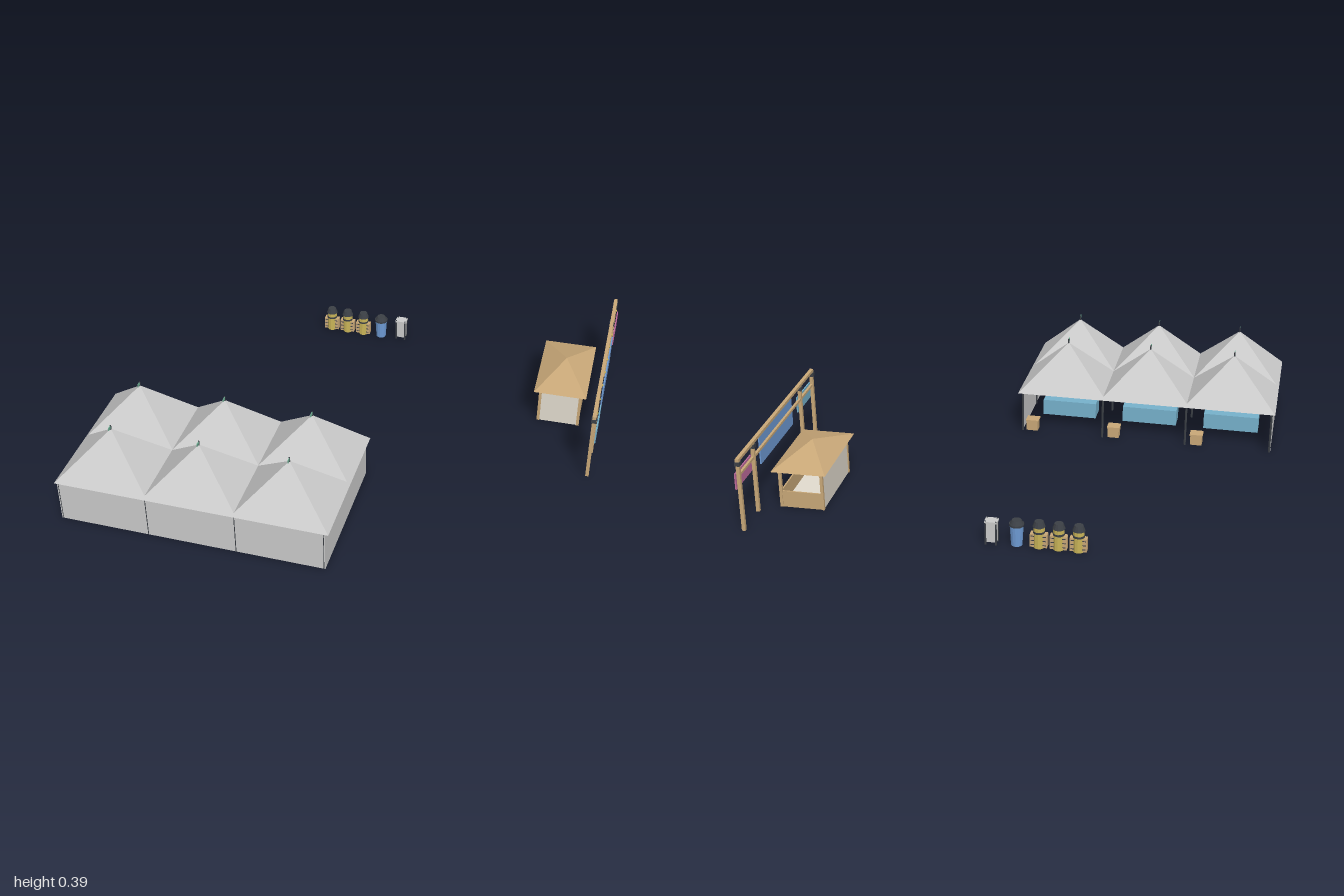
import * as THREE from 'three';

const mat = (color) => new THREE.MeshStandardMaterial({ color, flatShading: true, side: THREE.DoubleSide });
const GREY = mat(0xcccccc), DARK = mat(0x3c4046), WOOD = mat(0xc9a878), PALE = mat(0xe2dccf);
const TEAL = mat(0x77b2cc), BLUE = mat(0x6f9cd6), PINK = mat(0xbf6c9d), YELLOW = mat(0xc9b458), GREEN = mat(0x6fae94);

function add(parent, name, geometry, material, x, y, z) {
  const mesh = new THREE.Mesh(geometry, material);
  mesh.name = name;
  mesh.position.set(x, y, z);
  parent.add(mesh);
  return mesh;
}

// box resting on height y
const box = (parent, name, material, w, h, d, x, y, z) =>
  add(parent, name, new THREE.BoxGeometry(w, h, d), material, x, y + h / 2, z);

// upright cylinder resting on height y
const drum = (parent, name, material, r, h, x, y, z, sides = 12, rBottom = r) =>
  add(parent, name, new THREE.CylinderGeometry(r, rBottom, h, sides), material, x, y + h / 2, z);

// open four-sided pyramid with half sizes hx and hz
function pyramid(parent, name, material, hx, h, hz, x, y, z) {
  const g = new THREE.ConeGeometry(Math.SQRT2, 1, 4, 1, true);
  g.rotateY(Math.PI / 4);
  g.scale(hx, h, hz);
  return add(parent, name, g, material, x, y + h / 2, z);
}

function group(parent, name, x = 0, z = 0, turn = 0) {
  const g = new THREE.Group();
  g.name = name;
  g.position.set(x, 0, z);
  g.rotation.y = turn;
  parent.add(g);
  return g;
}

// marquee: walls on three sides, open at the back
function buildMarquee(root) {
  const tent = group(root, 'marquee');
  box(tent, 'frontWall', GREY, 1.09, 0.18, 0.004, -0.445, 0, 0.838);
  for (const x of [-0.988, 0.098]) box(tent, 'sideWall', GREY, 0.004, 0.18, 0.585, x, 0, 0.548);

  // six peaked roofs with finials and small pennants
  for (const x of [-0.805, -0.4425, -0.08]) {
    for (const z of [0.4, 0.69]) {
      pyramid(tent, 'peakedRoof', GREY, 0.195, 0.195, 0.155, x, 0.18, z);
      drum(tent, 'finial', DARK, 0.003, 0.025, x, 0.367, z, 6);
      box(tent, 'pennant', GREEN, 0.003, 0.012, 0.02, x, 0.379, z + 0.01);
    }
  }
  // supporting poles
  for (const x of [-0.985, -0.6225, -0.26, 0.095])
    for (const z of [0.257, 0.545, 0.836]) drum(tent, 'tentPole', DARK, 0.005, 0.182, x, 0, z, 6);

  // serving counter and crate in each bay
  for (let i = 0; i < 3; i++) {
    const x = -0.08 - i * 0.3625;
    box(tent, 'counter', TEAL, 0.24, 0.07, 0.09, x, 0, 0.485);
    const cx = x + 0.135;
    box(tent, 'crate', WOOD, 0.05, 0.045, 0.045, cx, 0, 0.283);
    box(tent, 'crateLid', WOOD, 0.056, 0.006, 0.05, cx, 0.043, 0.283);
  }
  // lamp rail under the rear roofs
  box(tent, 'lampRail', DARK, 1.09, 0.003, 0.003, -0.443, 0.167, 0.4);
  for (let i = 0; i < 10; i++)
    add(tent, 'lamp', new THREE.SphereGeometry(0.005, 8, 6), DARK, -0.98 + i * 0.12, 0.162, 0.4);
}

// wooden kiosk: two full walls, two serving hatches
function buildKiosk(root) {
  const kiosk = group(root, 'kiosk', 0.803, -0.46, 0.03);
  const hx = 0.085, hz = 0.165;
  box(kiosk, 'floor', PALE, hx * 2, 0.005, hz * 2, 0, 0, 0);
  box(kiosk, 'sideWall', PALE, 0.005, 0.165, hz * 2, -hx, 0, 0);
  box(kiosk, 'endWall', PALE, hx * 2, 0.165, 0.005, 0, 0, hz);
  box(kiosk, 'sideCounter', WOOD, 0.006, 0.07, hz * 2, hx, 0, 0);
  box(kiosk, 'endCounter', WOOD, hx * 2, 0.07, 0.006, 0, 0, -hz);
  for (const sx of [-1, 1])
    for (const sz of [-1, 1]) box(kiosk, 'cornerPost', WOOD, 0.012, 0.168, 0.012, sx * hx, 0, sz * hz);
  for (const s of [-1, 1]) {
    box(kiosk, 'topRail', WOOD, 0.01, 0.01, hz * 2, s * hx, 0.157, 0);
    box(kiosk, 'topRail', WOOD, hx * 2, 0.01, 0.01, 0, 0.157, s * hz);
  }
  pyramid(kiosk, 'hippedRoof', WOOD, 0.111, 0.06, 0.197, 0, 0.165, 0);
}

// banner frame: posts, beams, hung panels and a string of bulbs
function buildBannerFrame(root) {
  const frame = group(root, 'bannerFrame', 0.969, -0.408, 0.028);
  for (const z of [0.433, 0.278, -0.277, -0.432]) {
    box(frame, 'post', WOOD, 0.014, 0.3, 0.014, 0, 0, z);
    box(frame, 'clamp', DARK, 0.021, 0.016, 0.021, 0, 0.279, z);
  }
  box(frame, 'topBeam', WOOD, 0.015, 0.012, 0.882, 0, 0.297, 0);
  box(frame, 'lowerBeam', WOOD, 0.01, 0.01, 0.87, 0, 0.234, 0);
  box(frame, 'tealPanel', TEAL, 0.005, 0.068, 0.17, 0.014, 0.177, 0.355);
  box(frame, 'bluePanel', BLUE, 0.005, 0.122, 0.38, 0.012, 0.158, 0.008);
  box(frame, 'pinkPanel', PINK, 0.005, 0.068, 0.168, 0.014, 0.177, -0.356);
  for (let i = 0; i < 9; i++)
    add(frame, 'bulb', new THREE.SphereGeometry(0.005, 8, 6), YELLOW, 0.008, 0.287, -0.38 + i * 0.095);
}

// row of boxed barrels, a blue bin and a small cabinet
function buildBins(root) {
  const bins = group(root, 'binRow', 0, -0.727);
  for (const x of [-0.333, -0.257, -0.181]) {
    box(bins, 'woodBox', WOOD, 0.066, 0.055, 0.026, x, 0.003, 0);
    for (const s of [-1, 1])
      for (const y of [0.012, 0.03, 0.048]) box(bins, 'slatGap', DARK, 0.058, 0.003, 0.002, x, y, s * 0.0135);
    drum(bins, 'barrel', YELLOW, 0.022, 0.09, x, 0, 0);
    drum(bins, 'barrelBand', DARK, 0.0235, 0.008, x, 0.062, 0);
    drum(bins, 'barrelLid', DARK, 0.017, 0.022, x, 0.088, 0, 12, 0.025);
  }
  drum(bins, 'blueBin', BLUE, 0.027, 0.085, -0.095, 0, 0, 16, 0.022);
  drum(bins, 'binRim', DARK, 0.029, 0.008, -0.095, 0.083, 0, 16);
  drum(bins, 'binLid', DARK, 0.018, 0.016, -0.095, 0.09, 0, 16, 0.027);

  box(bins, 'cabinet', GREY, 0.044, 0.082, 0.036, 0, 0.012, -0.009);
  box(bins, 'cabinetTop', GREY, 0.05, 0.006, 0.041, 0, 0.093, -0.009);
  for (const sx of [-1, 1])
    for (const sz of [-1, 1]) box(bins, 'cabinetLeg', DARK, 0.006, 0.1, 0.006, sx * 0.02, 0, -0.009 + sz * 0.016);
}

export function createModel() {
  const root = new THREE.Group();
  root.name = 'fairground';
  buildMarquee(root);
  buildKiosk(root);
  buildBannerFrame(root);
  buildBins(root);
  return root;
}
